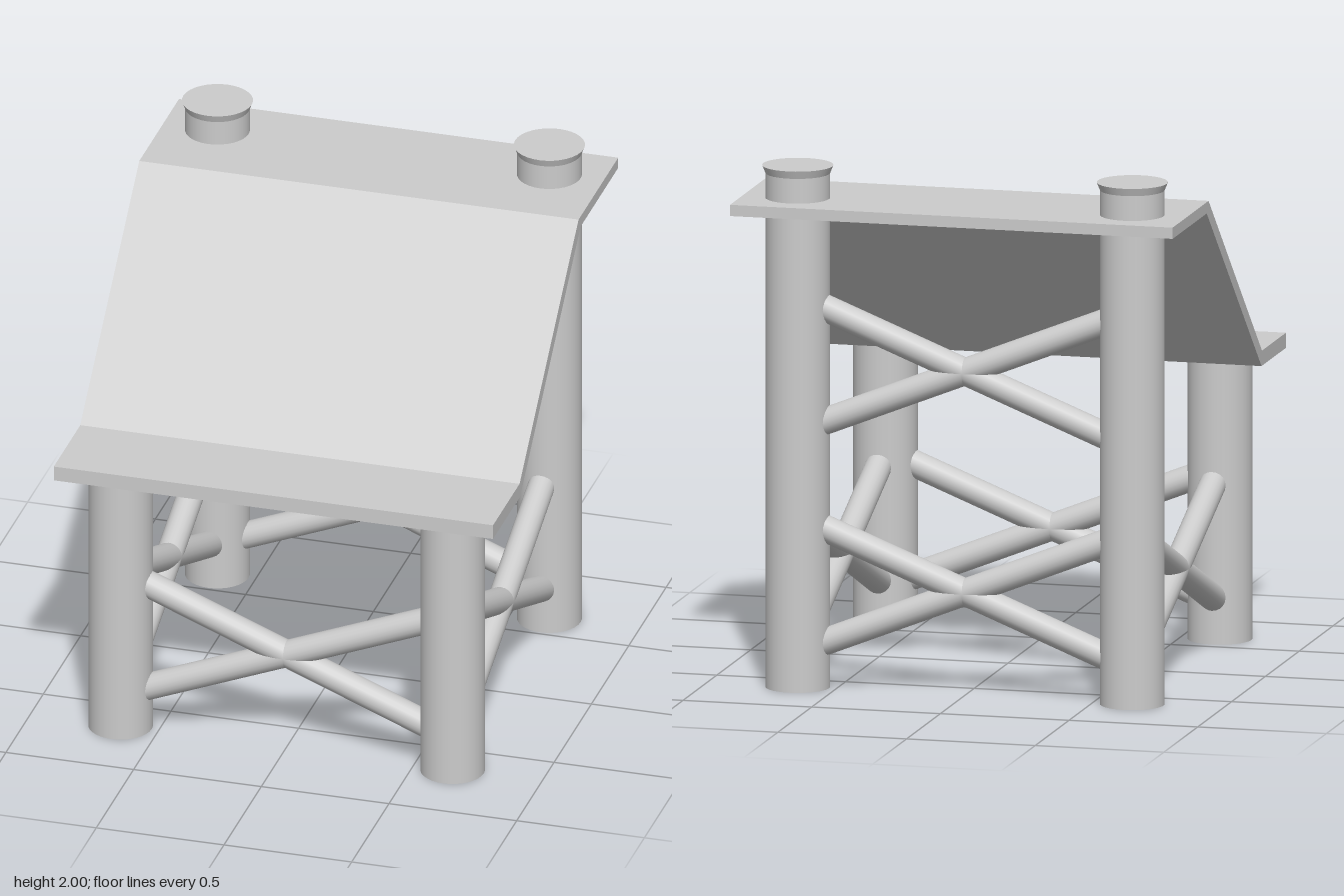
import * as THREE from 'three';

const POST_R = 0.122, POST_X = 0.65, FRONT_Z = 0.661, BACK_Z = -0.635;

export function createModel() {
  const model = new THREE.Group();
  const material = new THREE.MeshStandardMaterial({ color: 0xcccccc });
  const openMaterial = new THREE.MeshStandardMaterial({ color: 0xcccccc, side: THREE.DoubleSide });

  const add = (name, geometry, mat = material) => {
    const mesh = new THREE.Mesh(geometry, mat);
    mesh.name = name;
    model.add(mesh);
    return mesh;
  };

  // Hollow post, open at the foot
  const post = (name, x, z, height) =>
    add(name, new THREE.CylinderGeometry(POST_R, POST_R, height, 32, 1, true), openMaterial)
      .position.set(x, height / 2, z);

  // Round bar between two points
  const bar = (name, a, b) => {
    const dir = b.clone().sub(a);
    const mesh = add(name, new THREE.CylinderGeometry(0.051, 0.051, dir.length(), 20));
    mesh.position.copy(a).add(b).multiplyScalar(0.5);
    mesh.quaternion.setFromUnitVectors(new THREE.Vector3(0, 1, 0), dir.normalize());
  };

  // Pair of crossed bars between two posts, ends buried in the posts
  const cross = (name, x0, z0, x1, z1, y) => {
    for (const s of [-1, 1]) {
      const a = new THREE.Vector3(x0, y - s * 0.26, z0);
      const b = new THREE.Vector3(x1, y + s * 0.26, z1);
      bar(name, a.clone().lerp(b, 0.04), b.clone().lerp(a, 0.04));
    }
  };

  // Posts, flared caps and side bracing
  for (const [side, s] of [['left', 1], ['right', -1]]) {
    const x = s * POST_X;
    post(side + 'FrontPost', x, FRONT_Z, 1.1);
    post(side + 'BackPost', x, BACK_Z, 1.98);
    add(side + 'PostCap', new THREE.CylinderGeometry(0.134, POST_R, 0.03, 32))
      .position.set(x, 1.985, BACK_Z);
    cross(side + 'Brace', x, FRONT_Z, x, BACK_Z, 0.395);
  }

  // Front bracing, and two tiers at the back
  cross('frontBrace', -POST_X, FRONT_Z, POST_X, FRONT_Z, 0.395);
  cross('backLowerBrace', -POST_X, BACK_Z, POST_X, BACK_Z, 0.395);
  cross('backUpperBrace', -POST_X, BACK_Z, POST_X, BACK_Z, 1.24);

  // Bent roof sheet: side profile (z, y) extruded across the width
  const profile = [
    [0.838, 1.09], [0.838, 1.148], [0.483, 1.148], [-0.307, 1.875],
    [-0.838, 1.875], [-0.838, 1.832], [-0.334, 1.832], [0.476, 1.09],
  ].map(([z, y]) => new THREE.Vector2(z, y));
  const roof = new THREE.ExtrudeGeometry(new THREE.Shape(profile), { depth: 1.72, bevelEnabled: false });
  roof.translate(0, 0, -0.86).rotateY(-Math.PI / 2);
  add('roof', roof);

  return model;
}
